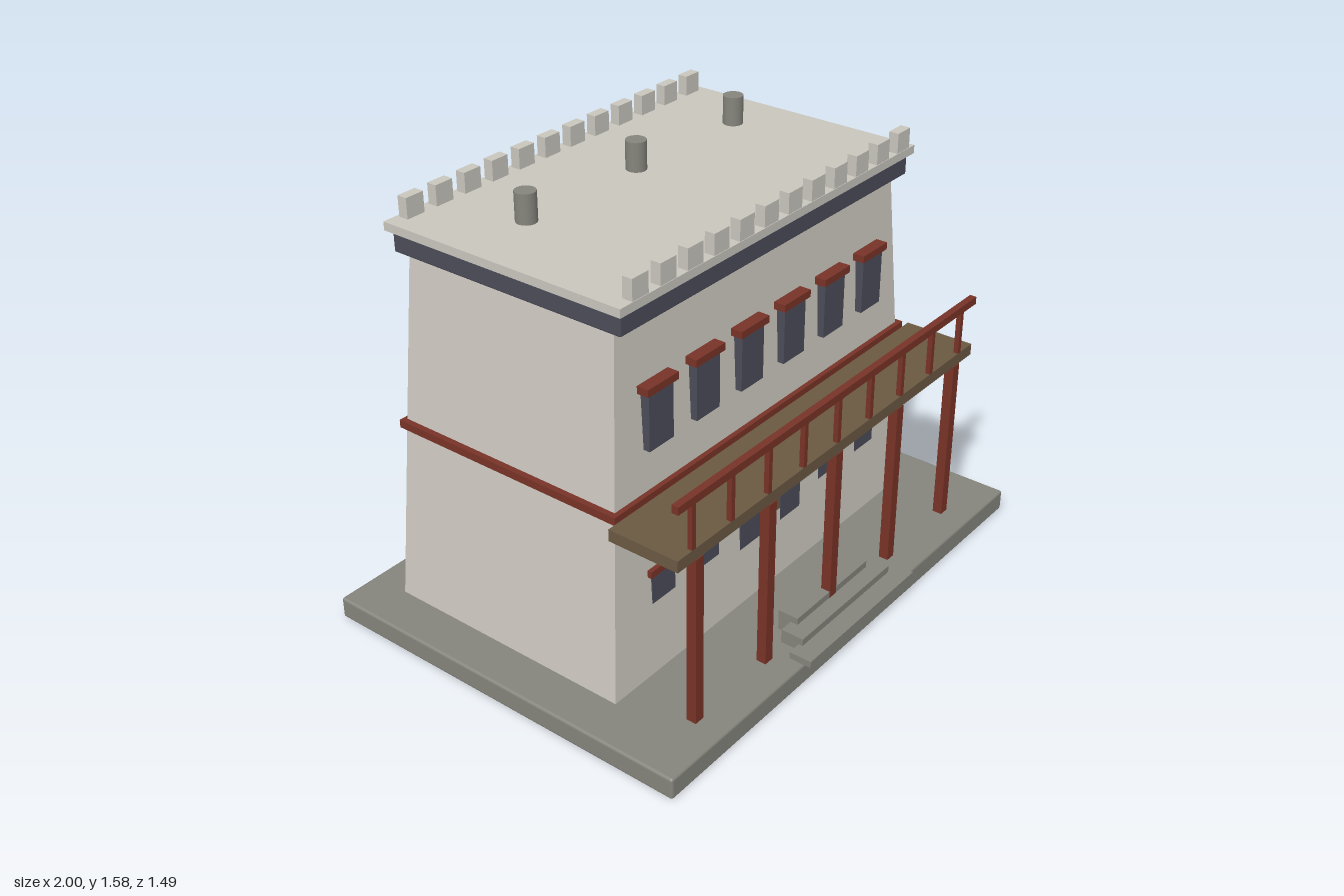
import * as THREE from 'three';
import { RoundedBoxGeometry } from 'three/addons/geometries/RoundedBoxGeometry.js';

const flat = (name, color) => {
  const m = new THREE.MeshStandardMaterial({ color });
  m.name = name;
  return m;
};

export function createModel() {
  const wall = flat('limewash wall', 0xcdc9c0);
  const roof = flat('pale roof', 0xc9c6bd);
  const stone = flat('grey stone', 0x85847c);
  const slate = flat('dark slate', 0x4c4c5a);
  const red = flat('red timber', 0x783327);
  const brown = flat('brown timber', 0x6a5942);

  const model = new THREE.Group();
  model.name = 'house';

  const add = (name, geometry, material, x, y, z) => {
    const mesh = new THREE.Mesh(geometry, material);
    mesh.name = name;
    mesh.position.set(x, y, z);
    model.add(mesh);
    return mesh;
  };
  // Box given by its centre x, width, and y and z ranges
  const box = (name, mat, x, w, y0, y1, z0, z1) =>
    add(name, new THREE.BoxGeometry(w, y1 - y0, z1 - z0), mat, x, (y0 + y1) / 2, (z0 + z1) / 2);

  // Plinth
  add('plinth', new RoundedBoxGeometry(2, 0.08, 1.46, 2, 0.01), stone, 0, 0.04, -0.012);

  // Battered walls: a box whose top is drawn inwards
  const zc = -0.117;
  const body = new THREE.BoxGeometry(1.68, 1.28, 0.956);
  const p = body.attributes.position;
  for (let i = 0; i < p.count; i++) {
    if (p.getY(i) > 0) {
      p.setX(i, p.getX(i) * 0.875);
      p.setZ(i, p.getZ(i) * 0.875);
    }
  }
  body.computeVertexNormals();
  add('walls', body, wall, 0, 0.72, zc);

  // Floor band, frieze and roof slab
  box('floorBand', red, 0, 1.61, 0.736, 0.764, -0.577, 0.347);
  add('frieze', new RoundedBoxGeometry(1.52, 0.075, 0.924, 2, 0.006), slate, 0, 1.393, -0.115);
  box('roofSlab', roof, 0, 1.555, 1.43, 1.46, -0.595, 0.363);

  // Battlements along front and back
  for (let i = 0; i < 12; i++) {
    const x = -0.685 + i * 0.1267;
    box('frontMerlon', roof, x, 0.073, 1.46, 1.532, 0.324, 0.361);
    box('backMerlon', roof, x, 0.073, 1.46, 1.532, -0.583, -0.546);
  }

  // Roof vents
  for (const x of [-0.527, 0, 0.527]) {
    add('roofVent', new THREE.CylinderGeometry(0.036, 0.036, 0.103, 16), stone, x, 1.528, -0.224);
  }

  // Windows with lintels, two storeys on both faces
  for (let i = 0; i < 6; i++) {
    const x = -0.578 + i * 0.2312;
    const inner = i === 2 || i === 3;
    box('upperFrontWindow', slate, x, 0.116, 0.913, 1.115, 0.3, 0.346);
    box('upperFrontLintel', red, x, 0.146, 1.112, 1.138, 0.3, 0.355);
    box('upperBackWindow', slate, x, 0.116, 0.913, 1.115, -0.566, -0.53);
    box('upperBackLintel', red, x, 0.146, 1.112, 1.138, -0.571, -0.53);
    box('lowerFrontWindow', slate, x, 0.116, 0.26, 0.46, 0.32, inner ? 0.3509 : 0.3486);
    box('lowerFrontLintel', red, x, 0.146, 0.457, 0.482, 0.32, 0.359);
    box('lowerBackWindow', slate, x, 0.116, 0.26, 0.46, -0.593, -0.56);
    box('lowerBackLintel', red, x, 0.146, 0.457, 0.482, -0.599, -0.56);
  }

  // Doors
  box('frontDoor', brown, 0, 0.213, 0.08, 0.476, 0.32, 0.3486);
  box('backDoor', brown, 0, 0.213, 0.08, 0.476, -0.603, -0.56);

  // Steps
  box('frontStepLow', stone, 0, 0.626, 0.08, 0.105, 0.66, 0.745);
  box('frontStepMiddle', stone, 0, 0.522, 0.08, 0.131, 0.59, 0.676);
  box('frontStepTop', stone, 0, 0.416, 0.08, 0.156, 0.54, 0.617);
  box('backStepLow', stone, 0, 0.422, 0.08, 0.105, -0.695, -0.61);
  box('backStepTop', stone, 0, 0.335, 0.08, 0.131, -0.642, -0.56);

  // Balcony on five columns
  box('balconyDeck', brown, 0, 1.68, 0.703, 0.745, 0.351, 0.615);
  for (let i = -2; i <= 2; i++) {
    box('column', red, i * 0.369, 0.038, 0.08, 0.703, 0.582, 0.618);
  }
  for (let i = -4; i <= 4; i++) {
    box('baluster', red, i * 0.1897 - 0.004, 0.018, 0.745, 0.908, 0.597, 0.615);
  }
  box('handrail', red, 0, 1.68, 0.906, 0.934, 0.593, 0.618);

  return model;
}
